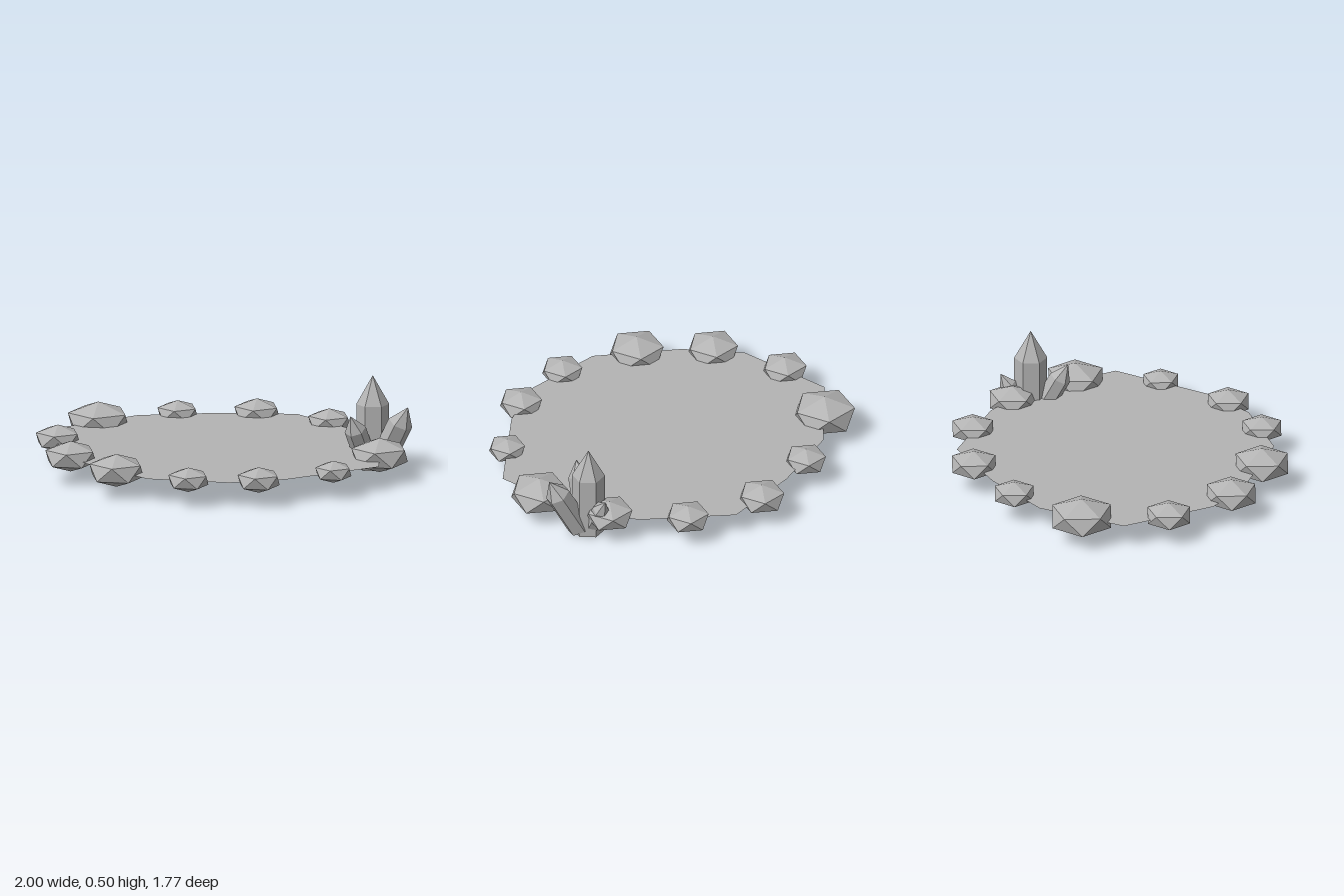
import * as THREE from 'three';

const stone = new THREE.MeshStandardMaterial({ color: 0xb4b4b4 });
stone.name = 'stone grey';
stone.flatShading = true;
const water = new THREE.MeshStandardMaterial({ color: 0xb4b4b4 });
water.name = 'water grey';
water.side = THREE.DoubleSide;

const LEVEL = 0.13; // height of the water sheet

// Irregular twelve-sided sheet of water
function makePond() {
  const rim = [
    [0.955, 0], [0.66, 0.48], [0.43, 0.69], [0.01, 0.815], [-0.44, 0.66], [-0.72, 0.48],
    [-0.95, 0], [-0.72, -0.44], [-0.38, -0.68], [0.01, -0.86], [0.485, -0.67], [0.74, -0.45],
  ];
  const shape = new THREE.Shape(rim.map(([x, z]) => new THREE.Vector2(x, -z)));
  const pond = new THREE.Mesh(new THREE.ShapeGeometry(shape).rotateX(-Math.PI / 2), water);
  pond.position.y = LEVEL;
  pond.name = 'pondWater';
  return pond;
}

// Squashed icosahedra, one vertex straight up
function makeRocks() {
  const group = new THREE.Group();
  group.name = 'rimRocks';
  const geometry = new THREE.IcosahedronGeometry(1, 0);
  geometry.rotateZ(-Math.atan(2 / (1 + Math.sqrt(5))));
  // x, z, half width
  const rocks = [
    [-0.838, -0.22, 0.162], [-0.55, -0.57, 0.107], [-0.185, -0.775, 0.12], [0.25, -0.77, 0.112],
    [0.605, -0.555, 0.123], [0.847, -0.215, 0.15], [0.81, 0.235, 0.096], [0.55, 0.585, 0.112],
    [0.22, 0.755, 0.107], [-0.215, 0.745, 0.144], [-0.58, 0.575, 0.134], [-0.835, 0.24, 0.117],
  ];
  rocks.forEach(([x, z, w], i) => {
    const rock = new THREE.Mesh(geometry, stone);
    const r = w / 0.894;
    rock.scale.set(r, r * 0.55, r);
    rock.position.set(x, 0.137, z);
    rock.name = `rock${i + 1}`;
    group.add(rock);
  });
  return group;
}

// Hexagonal prism with a pointed end, running from base to tip
function makeCrystal(name, base, tip, radius, shoulder) {
  const from = new THREE.Vector3(...base);
  const axis = new THREE.Vector3(...tip).sub(from);
  const h = axis.length();
  const profile = [[0, 0], [radius, 0], [radius, h * shoulder], [0, h]];
  const geometry = new THREE.LatheGeometry(profile.map(([x, y]) => new THREE.Vector2(x, y)), 6);
  const crystal = new THREE.Mesh(geometry, stone);
  crystal.position.copy(from);
  crystal.quaternion.setFromUnitVectors(new THREE.Vector3(0, 1, 0), axis.normalize());
  crystal.name = name;
  return crystal;
}

export function createModel() {
  const model = new THREE.Group();
  model.name = 'crystalPond';
  model.add(makePond(), makeRocks());

  // Cluster of one upright and three leaning crystals
  const cluster = new THREE.Group();
  cluster.name = 'crystalCluster';
  cluster.add(
    makeCrystal('tallCrystal', [0.678, 0, -0.455], [0.678, 0.5, -0.455], 0.087, 0.69),
    makeCrystal('outerCrystal', [0.73, 0.032, -0.45], [0.9, 0.355, -0.435], 0.067, 0.72),
    makeCrystal('frontCrystal', [0.67, 0.028, -0.41], [0.65, 0.315, -0.258], 0.058, 0.72),
    makeCrystal('backCrystal', [0.675, 0.025, -0.48], [0.66, 0.26, -0.615], 0.046, 0.72),
  );
  model.add(cluster);
  return model;
}
